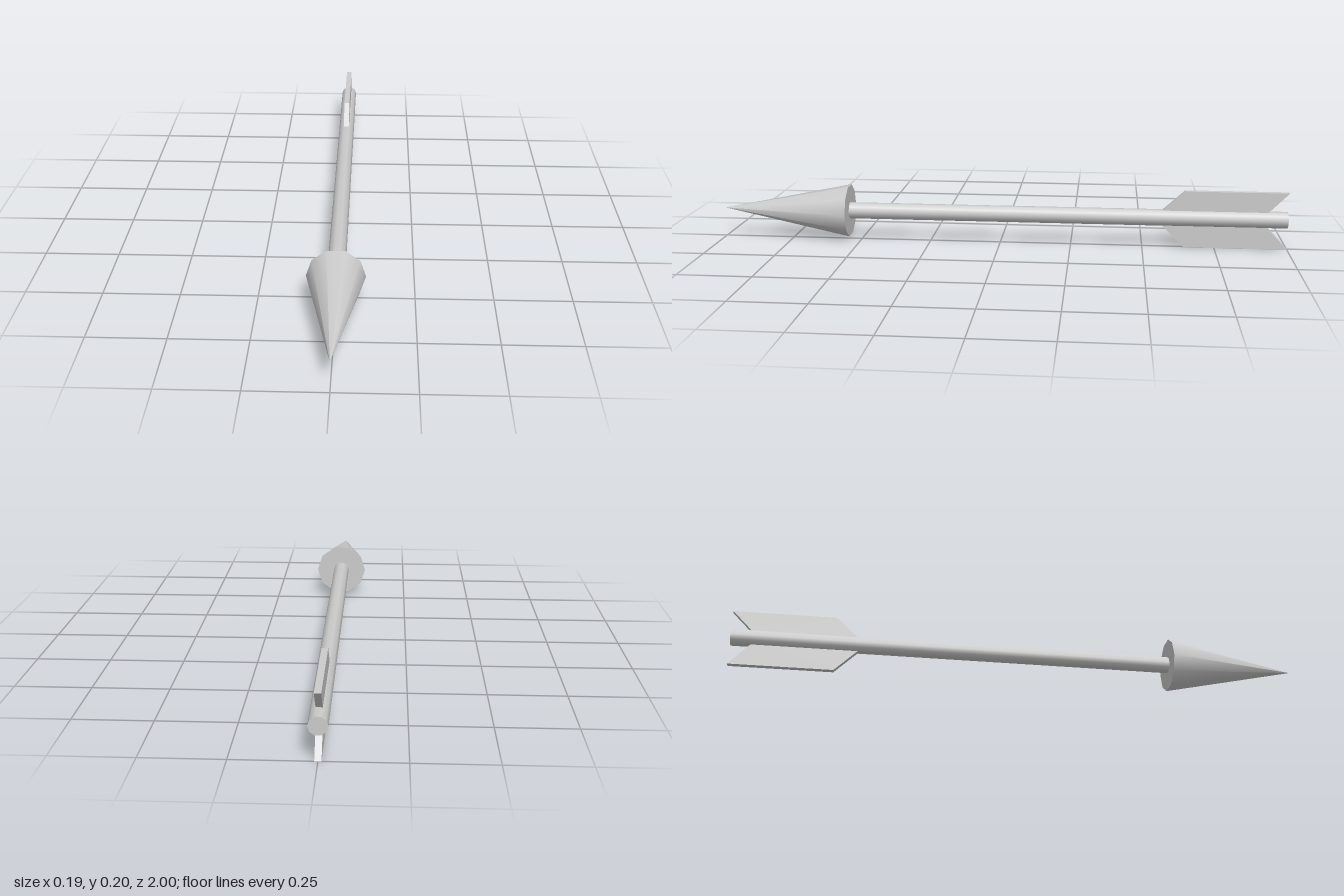
import * as THREE from 'three';

const AXIS_Y = 0.1035;
const SIDES = 10;

export function createModel() {
  const group = new THREE.Group();
  const material = new THREE.MeshStandardMaterial({ color: 0xcccccc });

  const add = (name, geometry) => {
    const mesh = new THREE.Mesh(geometry, material);
    mesh.name = name;
    mesh.position.y = AXIS_Y;
    group.add(mesh);
    return mesh;
  };

  // Ten-sided round part along z, with corners on the left and right
  const roundPart = (rFront, rBack, zBack, zFront) =>
    new THREE.CylinderGeometry(rFront, rBack, zFront - zBack, SIDES, 1, false, Math.PI / 2)
      .rotateX(Math.PI / 2)
      .translate(0, 0, (zBack + zFront) / 2);

  // Swept-back fin plate; its root is sunk into the shaft
  const finPart = (height) => {
    const shape = new THREE.Shape([
      new THREE.Vector2(-0.91, 0.005),
      new THREE.Vector2(-0.545, 0.005),
      new THREE.Vector2(-0.645, height),
      new THREE.Vector2(-1, height),
    ]);
    return new THREE.ExtrudeGeometry(shape, { depth: 0.02, bevelEnabled: false })
      .translate(0, 0, -0.01)
      .rotateY(-Math.PI / 2);
  };

  add('shaft', roundPart(0.029, 0.029, -0.998, 0.545));
  add('arrowhead', roundPart(0, 0.094, 0.54, 1));
  add('upperFin', finPart(0.2 - AXIS_Y));
  add('lowerFin', finPart(AXIS_Y)).rotation.z = Math.PI;

  return group;
}
